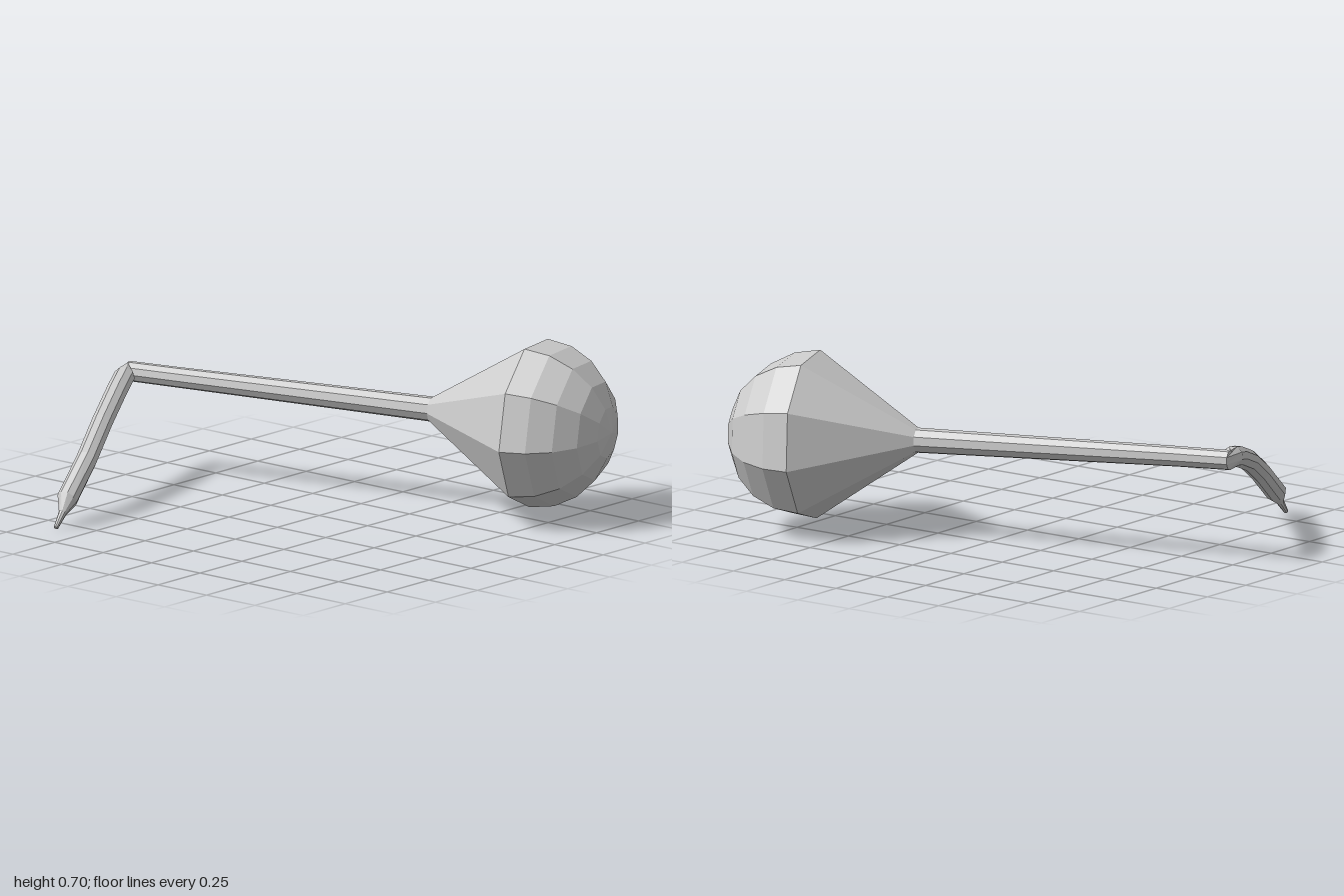
import * as THREE from 'three';

const SIDES = 9;
const PHASE = THREE.MathUtils.degToRad(33);
const UP = new THREE.Vector3(0, 1, 0);

// One cross-section: nine points round a centre, square to a direction.
function ring(center, dir, radius) {
  const side = new THREE.Vector3().crossVectors(UP, dir).normalize();
  const up = new THREE.Vector3().crossVectors(dir, side).normalize();
  const points = [];
  for (let i = 0; i < SIDES; i++) {
    const a = PHASE + (i / SIDES) * Math.PI * 2;
    points.push(center.clone()
      .addScaledVector(side, Math.cos(a) * radius)
      .addScaledVector(up, Math.sin(a) * radius));
  }
  return { points, radius };
}

// Faceted skin over a run of cross-sections.
function loft(name, rings, material) {
  const pos = [];
  const tri = (...corners) => corners.forEach((p) => pos.push(p.x, p.y, p.z));
  for (let k = 0; k < rings.length - 1; k++) {
    const p = rings[k], q = rings[k + 1];
    for (let i = 0; i < SIDES; i++) {
      const j = (i + 1) % SIDES;
      if (p.radius > 0) tri(p.points[i], p.points[j], q.points[i]);
      if (q.radius > 0) tri(p.points[j], q.points[j], q.points[i]);
    }
  }
  const geometry = new THREE.BufferGeometry();
  geometry.setAttribute('position', new THREE.Float32BufferAttribute(pos, 3));
  geometry.computeVertexNormals();
  const mesh = new THREE.Mesh(geometry, material);
  mesh.name = name;
  return mesh;
}

export function createModel() {
  const group = new THREE.Group();
  group.name = 'bulbWithBentStem';
  const material = new THREE.MeshStandardMaterial({
    color: 0xcccccc, flatShading: true, side: THREE.DoubleSide,
  });
  const V = (x, y, z) => new THREE.Vector3(x, y, z);

  // Bulb: hemispherical end, then a cone narrowing to the stem
  const forward = V(0.3, -0.02, 0.954).normalize();
  const back = forward.clone().negate();
  const bulbCenter = V(0.513, 0.385, 0.66);
  const R = 0.336, STEPS = 5;
  const bulb = [];
  for (let i = 0; i <= STEPS; i++) {
    const a = (i / STEPS) * Math.PI / 2;
    const c = bulbCenter.clone().addScaledVector(forward, R * Math.cos(a));
    bulb.push(ring(c, back, i === 0 ? 0 : R * Math.sin(a)));
  }
  const neck = ring(V(0.383, 0.398, 0.25), back, 0.05);
  bulb.push(neck);
  group.add(loft('bulb', bulb, material));

  // Straight stem
  const stemEnd = ring(V(0.003, 0.42, -0.988), back, 0.04);
  group.add(loft('stem', [neck, ring(V(0.062, 0.417, -0.78), back, 0.041), stemEnd], material));

  // Drooping arm
  const path = [
    V(-0.065, 0.417, -0.95), V(-0.175, 0.39, -0.893), V(-0.39, 0.318, -0.785),
    V(-0.59, 0.225, -0.69), V(-0.755, 0.105, -0.647),
  ];
  const arm = path.map((p, i) => {
    const before = path[Math.max(i - 1, 0)];
    const after = path[Math.min(i + 1, path.length - 1)];
    return ring(p, after.clone().sub(before).normalize(), 0.042);
  });

  // Tight elbow between stem and arm
  group.add(loft('elbow', [stemEnd, arm[0]], material));
  group.add(loft('arm', arm, material));

  // Thin pointed tip
  const tipDir = V(-0.7, -0.68, 0.1).normalize();
  group.add(loft('tip', [
    arm[arm.length - 1],
    ring(V(-0.795, 0.058, -0.637), tipDir, 0.016),
    ring(V(-0.842, 0.008, -0.631), tipDir, 0.009),
    ring(V(-0.842, 0.008, -0.631), tipDir, 0),
  ], material));

  return group;
}
